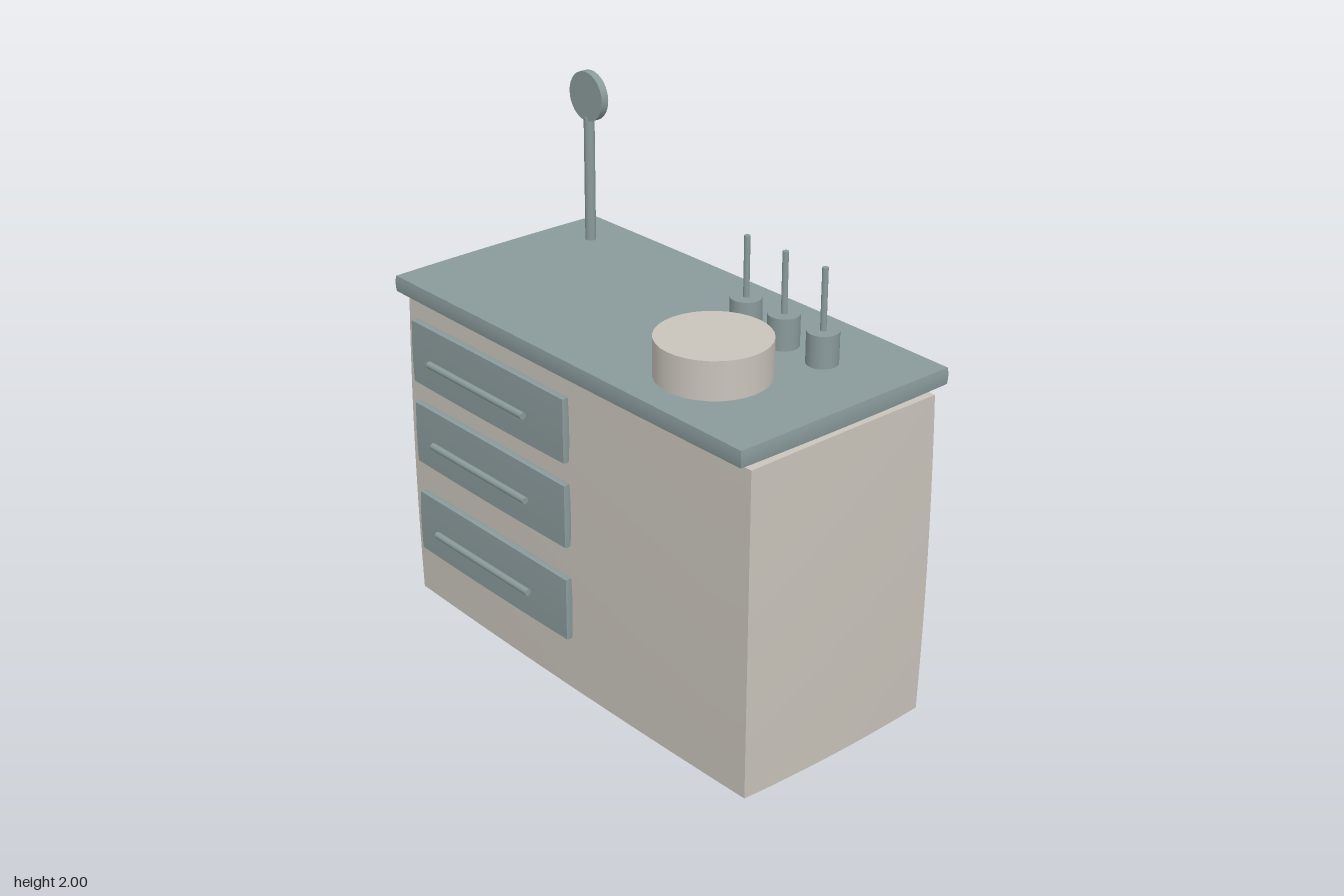
import * as THREE from 'three';

const stone = new THREE.MeshStandardMaterial({ color: 0xc9c4bb });
stone.name = 'warm grey';
const slate = new THREE.MeshStandardMaterial({ color: 0x8a9a9b });
slate.name = 'slate blue grey';

// Box whose faces swell gently outward; size is measured at the corners
function pillowBox(w, h, d, bulge) {
  const geo = new THREE.BoxGeometry(w, h, d, 10, 10, 10);
  const half = [w / 2, h / 2, d / 2];
  const pos = geo.attributes.position;
  for (let i = 0; i < pos.count; i++) {
    const u = [pos.getX(i) / half[0], pos.getY(i) / half[1], pos.getZ(i) / half[2]];
    const p = u.map((c, k) => {
      const a = u[(k + 1) % 3], b = u[(k + 2) % 3];
      return c * (half[k] + bulge * (1 - (a * a + b * b) / 2));
    });
    pos.setXYZ(i, ...p);
  }
  geo.computeVertexNormals();
  return geo;
}

export function createModel() {
  const group = new THREE.Group();
  const add = (name, geo, mat, x, y, z) => {
    const mesh = new THREE.Mesh(geo, mat);
    mesh.name = name;
    mesh.position.set(x, y, z);
    group.add(mesh);
    return mesh;
  };
  const rod = (r, h, seg = 24) => new THREE.CylinderGeometry(r, r, h, seg);

  // Cabinet and worktop
  add('cabinetBody', pillowBox(1.82, 1.224, 0.824, 0.013), stone, 0, 0.63, -0.014);
  add('worktop', pillowBox(1.83, 0.06, 0.922, 0.005), slate, 0, 1.298, -0.014);

  // Drawer fronts with bar handles
  for (const y of [1.058, 0.73, 0.36]) {
    add('drawerFront', pillowBox(0.87, 0.24, 0.024, 0.004), slate, -0.4, y, 0.432);
    add('drawerHandle', rod(0.013, 0.55, 16), slate, -0.423, y, 0.472).rotation.z = Math.PI / 2;
  }

  // Three small pots with upright rods
  for (const x of [0.253, 0.438, 0.623]) {
    add('pot', rod(0.056, 0.12), slate, x, 1.388, -0.185);
    add('potRod', rod(0.011, 0.23, 12), slate, x, 1.555, -0.185);
  }

  // Round basin hovering just above the worktop
  add('basin', rod(0.197, 0.138, 32), stone, 0.525, 1.442, 0.21);

  // Stand with a round disc
  add('standPole', rod(0.02, 0.475, 16), slate, -0.685, 1.592, -0.27);
  add('standDisc', rod(0.092, 0.03, 32), slate, -0.685, 1.908, -0.27).rotation.x = Math.PI / 2;

  return group;
}
